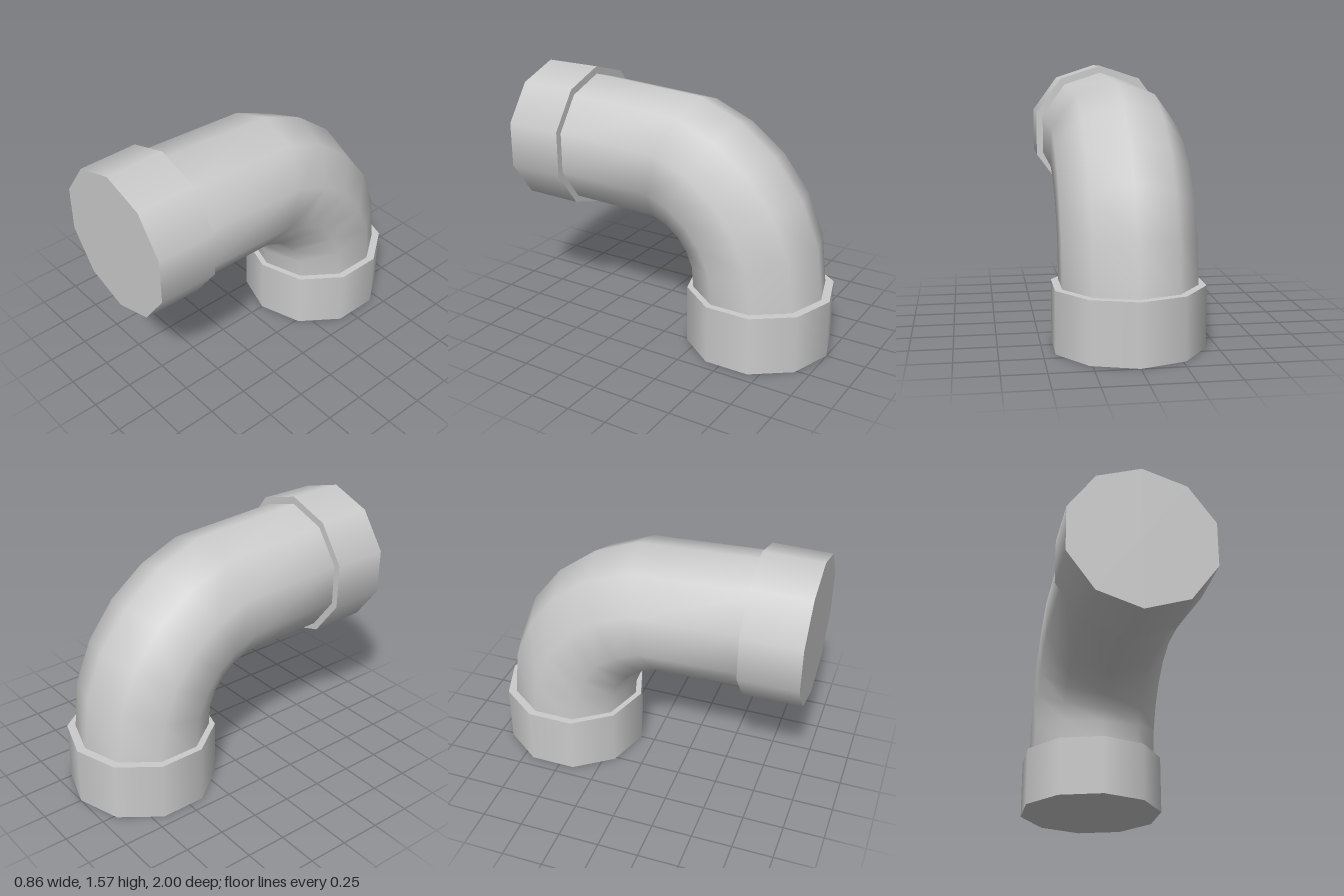
import * as THREE from 'three';

const SIDES = 10;
const PIPE_R = 0.409;
const BEND_R = 0.728;
const BEND_Y = 0.392, BEND_Z = 0.188; // centre of the bend

// Swept elbow: straight inlet, five bend rings, straight outlet
function elbowGeometry() {
  const rings = [{ y: BEND_Y + BEND_R, z: 0.7, t: 0 }];
  for (let i = 1; i <= 5; i++) {
    const t = (i * Math.PI) / 12;
    rings.push({ y: BEND_Y + BEND_R * Math.cos(t), z: BEND_Z - BEND_R * Math.sin(t), t });
  }
  rings.push({ y: 0.32, z: BEND_Z - BEND_R - 0.002, t: Math.PI / 2 });

  const positions = [], indices = [];
  rings.forEach(({ y, z, t }, i) => {
    for (let j = 0; j < SIDES; j++) {
      const a = (j / SIDES) * Math.PI * 2;
      const out = PIPE_R * Math.cos(a);
      positions.push(PIPE_R * Math.sin(a), y + out * Math.cos(t), z - out * Math.sin(t));
      if (i === rings.length - 1) continue;
      const k = (j + 1) % SIDES;
      const p = i * SIDES + j, q = i * SIDES + k;
      indices.push(p, q, p + SIDES, q, q + SIDES, p + SIDES);
    }
  });

  const geometry = new THREE.BufferGeometry();
  geometry.setAttribute('position', new THREE.Float32BufferAttribute(positions, 3));
  geometry.setIndex(indices);
  geometry.computeVertexNormals();
  return geometry;
}

export function createModel() {
  const group = new THREE.Group();
  group.name = 'pipeElbow';
  const material = new THREE.MeshStandardMaterial({ color: 0xcccccc });
  const pipeMaterial = new THREE.MeshStandardMaterial({ color: 0xcccccc, side: THREE.DoubleSide });

  const add = (name, geometry, mat = material) => {
    const mesh = new THREE.Mesh(geometry, mat);
    mesh.name = name;
    group.add(mesh);
    return mesh;
  };

  add('bentPipe', elbowGeometry(), pipeMaterial);

  // Collars closing both ends
  const bottom = add('bottomCollar', new THREE.CylinderGeometry(0.453, 0.453, 0.366, SIDES));
  bottom.position.set(0, 0.183, -0.546);

  const front = add('frontCollar', new THREE.CylinderGeometry(0.449, 0.453, 0.36, SIDES));
  front.rotation.x = Math.PI / 2;
  front.position.set(0, 1.12, 0.82);

  return group;
}
